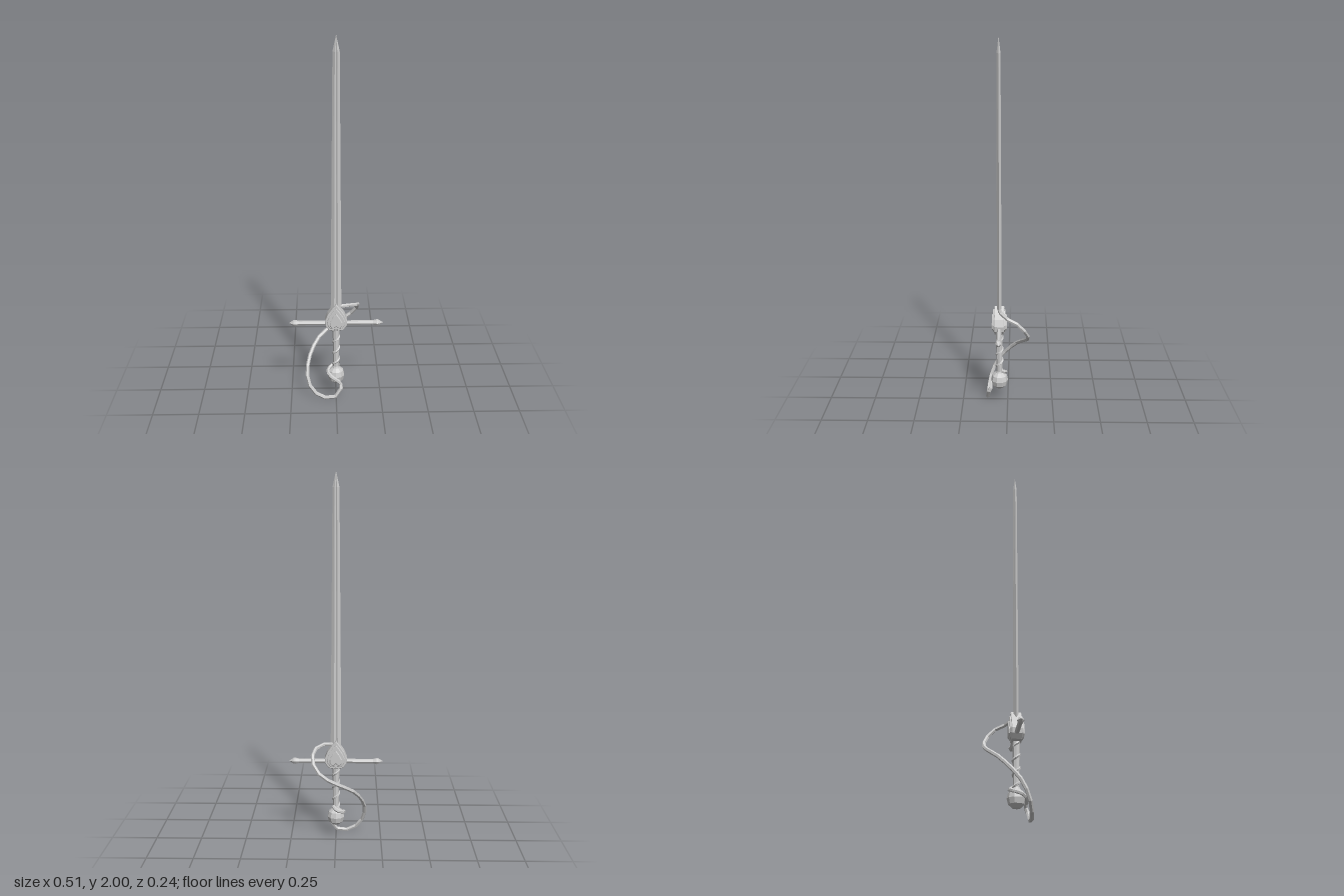
import * as THREE from 'three';

const Z = 0.046; // depth of the sword's axis
const mat = new THREE.MeshStandardMaterial({ color: 0xcccccc, flatShading: true, side: THREE.DoubleSide });

function part(name, geometry, x = 0, y = 0, z = Z) {
  const m = new THREE.Mesh(geometry, mat);
  m.name = name;
  m.position.set(x, y, z);
  return m;
}

function rod(name, points, radius, segments, sides = 6) {
  const curve = new THREE.CatmullRomCurve3(points.map(p => new THREE.Vector3(...p)));
  return part(name, new THREE.TubeGeometry(curve, segments, radius, sides), 0, 0, 0);
}

// Fullered blade lofted from eight-point sections: [y, half width, half thickness]
function bladeGeometry() {
  const rows = [[0.53, 0.029, 0.013], [1.2, 0.024, 0.0115], [1.92, 0.018, 0.01], [2, 0.0005, 0.0005]];
  const section = [[1, 0], [0.35, 1], [0, 0.5], [-0.35, 1], [-1, 0], [-0.35, -1], [0, -0.5], [0.35, -1]];
  const pos = [], idx = [], n = section.length;
  for (const [y, w, t] of rows) for (const [u, v] of section) pos.push(u * w, y, v * t);
  for (let r = 0; r < rows.length - 1; r++) {
    for (let i = 0; i < n; i++) {
      const a = r * n + i, b = r * n + (i + 1) % n;
      idx.push(a, a + n, b, b, a + n, b + n);
    }
  }
  const g = new THREE.BufferGeometry();
  g.setAttribute('position', new THREE.Float32BufferAttribute(pos, 3));
  g.setIndex(idx);
  g.computeVertexNormals();
  return g;
}

// Mirrored plate: right-hand outline, listed from top centre to bottom centre
function plate(outline, halfDepth, bevel) {
  const left = outline.filter(p => p[0] > 0).reverse().map(([x, y]) => [-x, y]);
  const shape = new THREE.Shape([...outline, ...left].map(p => new THREE.Vector2(...p)));
  const g = new THREE.ExtrudeGeometry(shape, {
    depth: 2 * (halfDepth - bevel), bevelEnabled: true, bevelThickness: bevel,
    bevelSize: bevel, bevelOffset: -bevel, bevelSegments: 1
  });
  return g.translate(0, 0, bevel - halfDepth);
}

export function createModel() {
  const sword = new THREE.Group();
  sword.name = 'sword';
  sword.add(part('blade', bladeGeometry()));

  // Guard block with stepped plates on both faces
  const spade = [[0, 0.568], [0.022, 0.54], [0.046, 0.505], [0.061, 0.468], [0.058, 0.44], [0.04, 0.415], [0, 0.408]];
  const scaled = s => spade.map(([x, y]) => [x * s, 0.473 + (y - 0.473) * s]);
  const heart = [[0, 0.52], [0.018, 0.496], [0.034, 0.466], [0.034, 0.446], [0.022, 0.432], [0.009, 0.434], [0, 0.443]];
  sword.add(part('guardBlock', plate(spade, 0.027, 0.003)));
  sword.add(part('guardPlates', plate(scaled(0.8), 0.034, 0.003)));
  sword.add(part('guardHearts', plate(heart, 0.041, 0.004)));

  // Cross guard arms with faceted finials
  for (const s of [-1, 1]) {
    const bar = part('crossBar', new THREE.CylinderGeometry(0.0125, 0.0125, 0.17, 6), s * 0.125, 0.447);
    bar.rotation.z = -s * Math.PI / 2;
    const profile = [[0.0125, 0], [0.0175, 0.02], [0.0165, 0.03], [0.001, 0.054]];
    const finial = part('finial', new THREE.LatheGeometry(profile.map(p => new THREE.Vector2(...p)), 6), s * 0.203, 0.447);
    finial.rotation.z = -s * Math.PI / 2;
    sword.add(bar, finial);
  }

  // Grip with a spiral binding
  sword.add(part('grip', new THREE.CylinderGeometry(0.019, 0.016, 0.26, 8), 0, 0.29));
  const spiral = [];
  const steps = 28;
  for (let i = 0; i <= steps; i++) {
    const t = i / steps, a = t * Math.PI * 7;
    spiral.push([-0.016 * Math.sin(a), 0.175 + t * 0.24, Z - 0.016 * Math.cos(a)]);
  }
  sword.add(rod('gripBinding', spiral, 0.0075, 44, 5));

  // Pommel with flattened ends
  const knob = [[0, 0.076], [0.02, 0.078], [0.041, 0.096], [0.048, 0.125], [0.041, 0.153], [0.022, 0.17], [0.018, 0.18]];
  sword.add(part('pommel', new THREE.LatheGeometry(knob.map(p => new THREE.Vector2(...p)), 10)));

  // Knuckle bow sweeping behind the grip, under the pommel and around it
  sword.add(rod('knuckleBow', [
    [0.01, 0.545, 0.045], [0.06, 0.547, 0.035], [0.1, 0.538, 0.012], [0.124, 0.51, -0.055],
    [0.11, 0.455, -0.1], [0.06, 0.405, -0.112], [-0.02, 0.356, -0.092], [-0.09, 0.312, -0.055],
    [-0.14, 0.242, 0.005], [-0.16, 0.17, 0.06], [-0.152, 0.095, 0.093], [-0.112, 0.038, 0.108],
    [-0.05, 0.011, 0.112], [0.005, 0.025, 0.111], [0.026, 0.065, 0.104]
  ], 0.0105, 18));
  sword.add(rod('pommelWrap', [
    [0.026, 0.063, 0.104], [0.024, 0.092, 0.092], [-0.005, 0.118, 0.095], [-0.037, 0.138, 0.078],
    [-0.044, 0.15, 0.045], [-0.022, 0.162, 0.013], [0.004, 0.174, 0.022], [0.014, 0.185, 0.038]
  ], 0.0105, 10));
  return sword;
}
